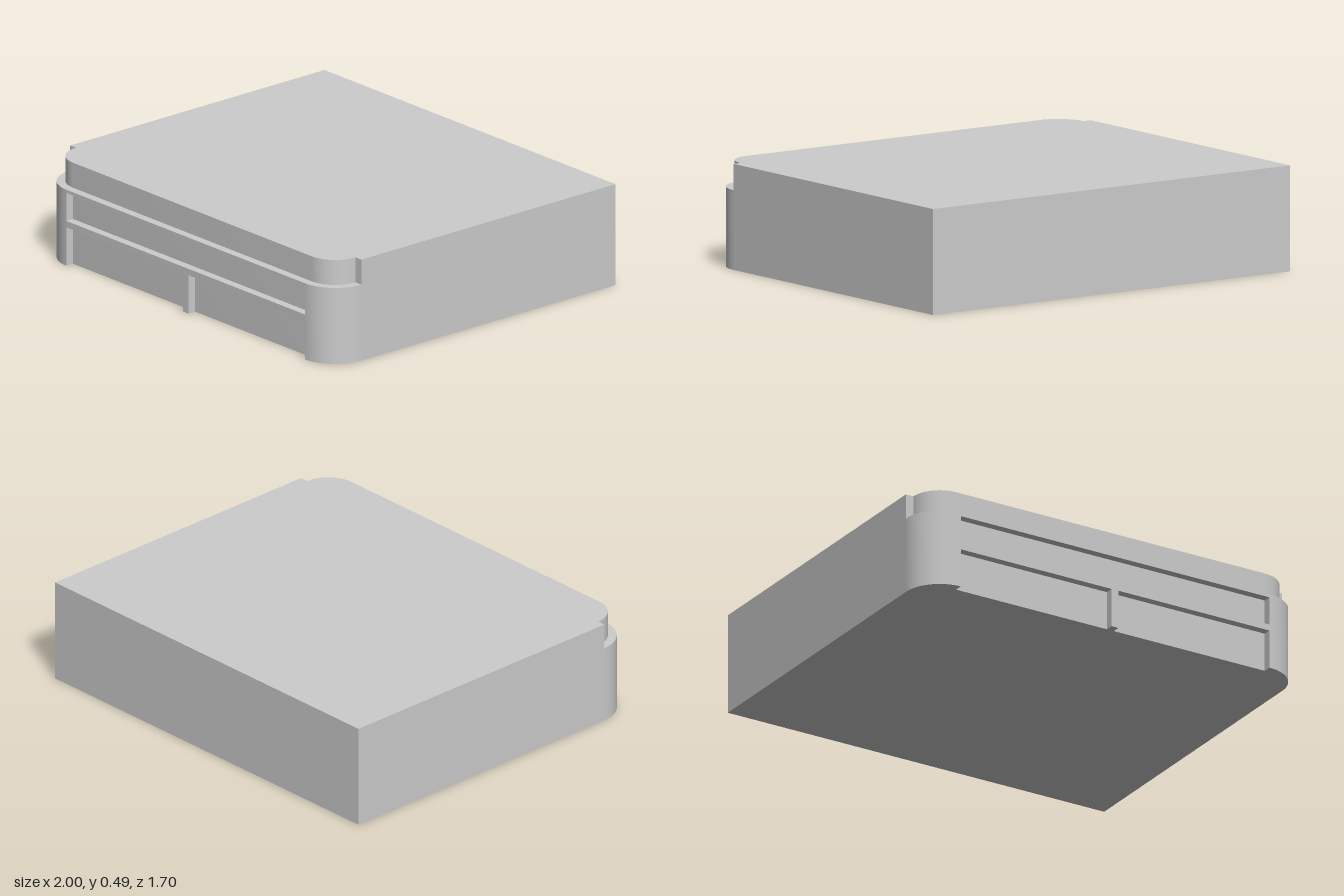
import * as THREE from 'three';
import { toCreasedNormals } from 'three/addons/utils/BufferGeometryUtils.js';

const W = 1, BACK = -0.85, FRONT = 0.85;   // half width, back and front planes
const H = 0.485, BAND_H = 0.365;           // full height, height of the front band
const CX = 0.82, CZ = 0.67;                // centre of the rounded front corners
const R = 0.18, T = 0.04;                  // corner radius, band thickness

const material = new THREE.MeshStandardMaterial({ color: 0xcccccc });

// Quarter arc round a front corner, from the side (a = 0) to the front (a = 90 degrees)
function cornerArc(side, radius, steps = 16) {
  return Array.from({ length: steps + 1 }, (_, i) => {
    const a = (i / steps) * Math.PI / 2;
    return new THREE.Vector2(side * (CX + radius * Math.cos(a)), CZ + radius * Math.sin(a));
  });
}

// Extrudes a plan outline (x, z) upward from the ground
function extrudePlan(name, points, height) {
  const geometry = new THREE.ExtrudeGeometry(new THREE.Shape(points), { depth: height, bevelEnabled: false });
  geometry.rotateX(Math.PI / 2).translate(0, height, 0);
  const mesh = new THREE.Mesh(toCreasedNormals(geometry, Math.PI / 6), material);
  mesh.name = name;
  return mesh;
}

export function createModel() {
  const model = new THREE.Group();
  model.name = 'steppedCase';

  // Main body: square at the back, stepped in and rounded at the front
  model.add(extrudePlan('body', [
    new THREE.Vector2(-W, BACK),
    new THREE.Vector2(W, BACK),
    new THREE.Vector2(W, CZ),
    ...cornerArc(1, R - T),
    ...cornerArc(-1, R - T).reverse(),
    new THREE.Vector2(-W, CZ),
  ], H));

  // Rounded corners of the front band
  for (const side of [1, -1]) {
    model.add(extrudePlan(side > 0 ? 'leftCorner' : 'rightCorner',
      [...cornerArc(side, R), ...cornerArc(side, R - T).reverse()], BAND_H));
  }

  // Front frame: upper rails and a central post, open below, with one long slot
  const railY = 0.185, post = 0.018;
  const frame = new THREE.Shape([
    [-CX, railY], [-post, railY], [-post, 0], [post, 0], [post, railY],
    [CX, railY], [CX, BAND_H], [-CX, BAND_H],
  ].map(([x, y]) => new THREE.Vector2(x, y)));
  frame.holes.push(new THREE.Path([
    [-CX, 0.215], [-CX, 0.35], [CX, 0.35], [CX, 0.215],
  ].map(([x, y]) => new THREE.Vector2(x, y))));
  const frontFrame = new THREE.Mesh(
    new THREE.ExtrudeGeometry(frame, { depth: T, bevelEnabled: false }), material);
  frontFrame.name = 'frontFrame';
  frontFrame.position.z = FRONT - T;
  model.add(frontFrame);

  return model;
}
